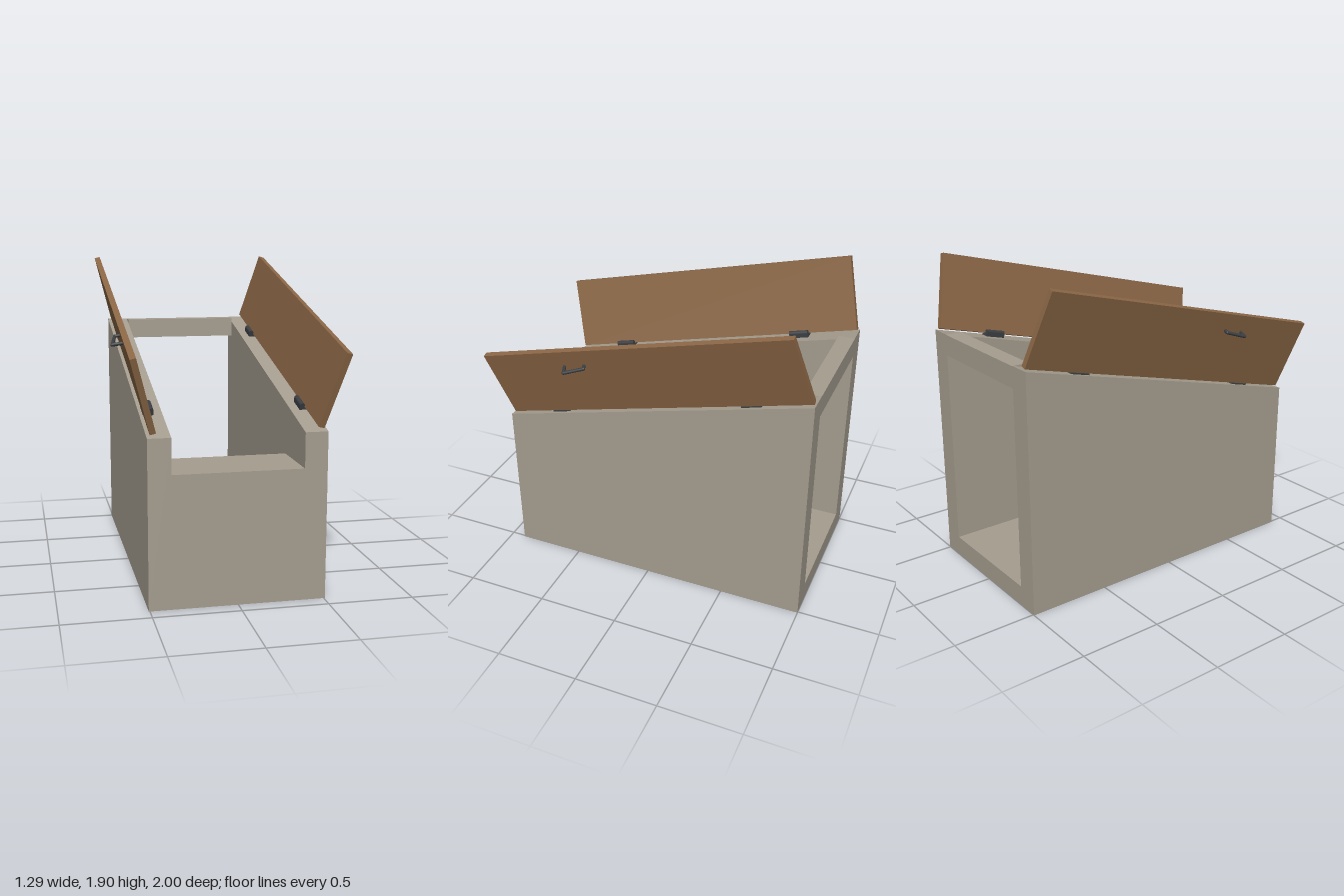
import * as THREE from 'three';

export function createModel() {
  const concrete = new THREE.MeshStandardMaterial({ color: 0xa59d8f });
  concrete.name = 'concrete';
  const wood = new THREE.MeshStandardMaterial({ color: 0x8b6746 });
  wood.name = 'wood';
  const metal = new THREE.MeshStandardMaterial({ color: 0x3b3f43 });
  metal.name = 'dark metal';

  const root = new THREE.Group();
  root.name = 'bulkheadEntrance';

  const add = (parent, name, geometry, material) => {
    const mesh = new THREE.Mesh(geometry, material);
    mesh.name = name;
    parent.add(mesh);
    return mesh;
  };
  const box = (x0, x1, y0, y1, z0, z1) =>
    new THREE.BoxGeometry(x1 - x0, y1 - y0, z1 - z0)
      .translate((x0 + x1) / 2, (y0 + y1) / 2, (z0 + z1) / 2);
  // Side profile given as [z, y] points, extruded from x0 to x1
  const sideProfile = (points, x0, x1) =>
    new THREE.ExtrudeGeometry(
      new THREE.Shape(points.map(([z, y]) => new THREE.Vector2(z, y))),
      { depth: x1 - x0, bevelEnabled: false }
    ).rotateY(-Math.PI / 2).translate(x1, 0, 0);

  const back = -1, front = 0.91, backTop = 1.458, frontTop = 0.97;
  const inner = 0.375, outer = 0.507;

  // Side walls with a sloping top
  const wallPoints = [[back, 0], [front, 0], [front, frontTop], [back, backTop]];
  add(root, 'leftWall', sideProfile(wallPoints, inner, outer), concrete);
  add(root, 'rightWall', sideProfile(wallPoints, -outer, -inner), concrete);

  // Floor, six risers and the front landing as one stepped solid
  const floorY = 0.125, landingY = 0.765, steps = 6;
  const rise = (landingY - floorY) / steps;
  const stairPoints = [[back, 0], [front, 0], [front, landingY]];
  for (let i = steps - 1; i >= 0; i--) {
    const z = -0.43 + i * 0.19;
    stairPoints.push([z, floorY + (i + 1) * rise], [z, floorY + i * rise]);
  }
  stairPoints.push([back, floorY]);
  add(root, 'stairs', sideProfile(stairPoints, -inner, inner), concrete);

  // Beam over the back doorway
  add(root, 'lintel', box(-inner, inner, 1.33, 1.456, back, -0.9), concrete);

  // Frame that follows the slope: local z runs down toward the front
  const slope = new THREE.Group();
  slope.name = 'slopedHatch';
  slope.position.set(0, backTop, back);
  slope.rotation.x = Math.atan2(backTop - frontTop, front - back);
  root.add(slope);

  const thick = 0.035, lean = THREE.MathUtils.degToRad(15);
  for (const s of [1, -1]) {
    const side = s > 0 ? 'left' : 'right';

    // Open door leaf, leaning outward
    const door = new THREE.Group();
    door.name = side + 'Door';
    door.position.set(s * 0.455, 0.019, 0.005);
    door.rotation.z = -s * lean;
    slope.add(door);
    add(door, side + 'DoorPanel',
      box(Math.min(0, s * thick), Math.max(0, s * thick), 0, 0.45, 0, 1.945), wood);

    // Skewed pull handle: two short posts and a grip
    const pts = [[-0.005, 1.425], [0.059, 1.405], [0.03, 1.283], [-0.005, 1.293]]
      .map(([out, z]) => new THREE.Vector3(s * (thick + out), 0.344, z));
    const handle = new THREE.Group();
    handle.name = side + 'Handle';
    door.add(handle);
    for (let i = 0; i < 3; i++) {
      const dir = pts[i + 1].clone().sub(pts[i]);
      const bar = add(handle, i === 1 ? 'handleGrip' : 'handlePost',
        new THREE.CylinderGeometry(0.01, 0.01, dir.length(), 12), metal);
      bar.position.copy(pts[i]).addScaledVector(dir, 0.5);
      bar.quaternion.setFromUnitVectors(new THREE.Vector3(0, 1, 0), dir.normalize());
    }
    for (const p of pts.slice(1, 3)) {
      add(handle, 'handleCorner', new THREE.SphereGeometry(0.01, 12, 8), metal).position.copy(p);
    }

    // Two hinges: a block on the wall top, a knuckle and a thin leaf under the door
    for (const z of [0.372, 1.614]) {
      const hinge = new THREE.Group();
      hinge.name = side + 'Hinge';
      hinge.position.set(s * 0.442, 0, z);
      slope.add(hinge);
      add(hinge, 'hingeBlock', box(-0.015, 0.015, 0, 0.026, -0.06, 0.06), metal);
      add(hinge, 'hingeKnuckle',
        new THREE.CylinderGeometry(0.015, 0.015, 0.12, 16).rotateX(Math.PI / 2), metal)
        .position.y = 0.026;
      const leaf = add(hinge, 'hingeLeaf', box(-0.02, 0.02, 0, 0.008, -0.06, 0.06), metal);
      leaf.position.x = s * 0.025;
    }
  }
  return root;
}
